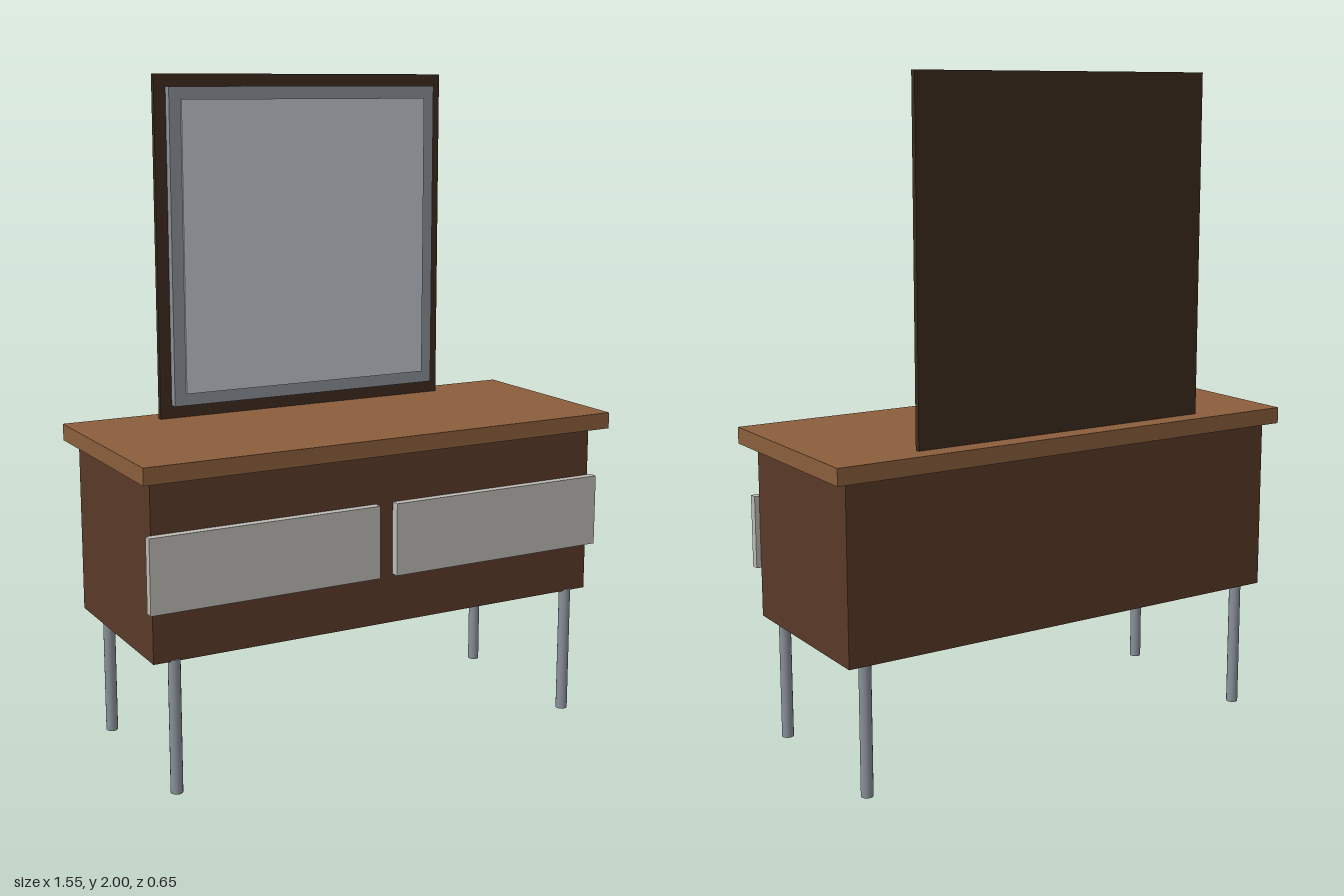
import * as THREE from 'three';

const paint = (color) => new THREE.MeshStandardMaterial({ color });

// Box given by its [min, max] extent on each axis
function box(name, [x0, x1], [y0, y1], [z0, z1], material) {
  const mesh = new THREE.Mesh(new THREE.BoxGeometry(x1 - x0, y1 - y0, z1 - z0), material);
  mesh.position.set((x0 + x1) / 2, (y0 + y1) / 2, (z0 + z1) / 2);
  mesh.name = name;
  return mesh;
}

// Rectangular frame with an opening, extruded from z0 to z1
function frame(name, [x0, x1], [y0, y1], [z0, z1], border, material) {
  const rect = (target, a, b, c, d) =>
    target.moveTo(a, c).lineTo(b, c).lineTo(b, d).lineTo(a, d).closePath();
  const shape = rect(new THREE.Shape(), x0, x1, y0, y1);
  shape.holes.push(rect(new THREE.Path(), x0 + border, x1 - border, y0 + border, y1 - border));
  const geometry = new THREE.ExtrudeGeometry(shape, { depth: z1 - z0, bevelEnabled: false });
  const mesh = new THREE.Mesh(geometry, material);
  mesh.position.z = z0;
  mesh.name = name;
  return mesh;
}

export function createModel() {
  const group = new THREE.Group();
  group.name = 'dressingTable';

  const topWood = paint(0x8b5e3c);
  const bodyWood = paint(0x5a3a28);
  const darkWood = paint(0x3d2b1f);
  const drawerPaint = paint(0xbcbab4);
  const metal = paint(0x8a9097);
  const glass = paint(0xbfc5cc);

  // Cabinet and table top
  group.add(box('cabinet', [-0.735, 0.735], [0.395, 0.92], [-0.293, 0.27], bodyWood));
  group.add(box('tableTop', [-0.773, 0.773], [0.92, 0.97], [-0.323, 0.323], topWood));

  // Drawer fronts
  group.add(box('rightDrawer', [-0.75, -0.028], [0.545, 0.765], [0.27, 0.296], drawerPaint));
  group.add(box('leftDrawer', [0.028, 0.75], [0.545, 0.765], [0.27, 0.296], drawerPaint));

  // Four round legs
  const legGeometry = new THREE.CylinderGeometry(0.018, 0.018, 0.4, 16);
  for (const x of [-0.669, 0.669]) {
    for (const z of [-0.259, 0.259]) {
      const leg = new THREE.Mesh(legGeometry, metal);
      leg.position.set(x, 0.2, z);
      leg.name = (z > 0 ? 'front' : 'back') + (x > 0 ? 'Left' : 'Right') + 'Leg';
      group.add(leg);
    }
  }

  // Mirror: dark back board, metal frame and glass standing slightly proud
  const mirror = new THREE.Group();
  mirror.name = 'mirror';
  mirror.add(box('mirrorBoard', [-0.49, 0.49], [0.97, 2], [-0.26, -0.243], darkWood));
  mirror.add(frame('mirrorFrame', [-0.453, 0.453], [1.01, 1.963], [-0.243, -0.217], 0.037, metal));
  mirror.add(box('mirrorGlass', [-0.416, 0.416], [1.047, 1.926], [-0.243, -0.211], glass));
  group.add(mirror);

  return group;
}
